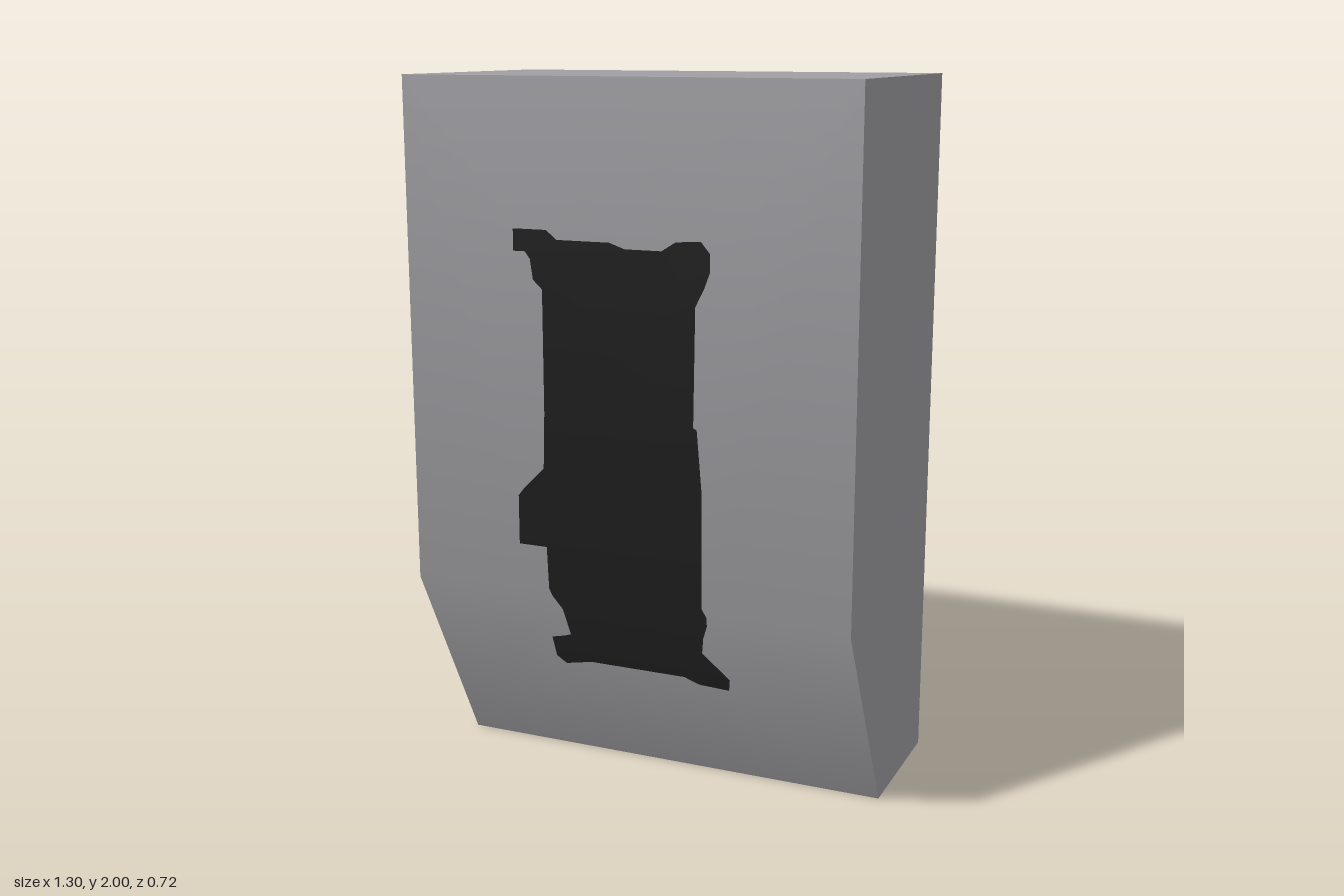
import * as THREE from 'three';

const W = 0.65, H = 2, Z = 0.36, BEND = 0.58, FOOT = 0.06;

// Front sheet: vertical above the bend, sloping back below it
const frontZ = y => (y >= BEND ? Z : FOOT + (Z - FOOT) * y / BEND);

// Marking outline above the bend, from left foot over the top to right foot
const markUpper = [
  [-0.22, BEND], [-0.23, 0.6], [-0.235, 0.72], [-0.32, 0.72], [-0.32, 0.86], [-0.3, 0.885],
  [-0.24, 0.945], [-0.235, 1.1], [-0.235, 1.44], [-0.262, 1.465], [-0.27, 1.52], [-0.285, 1.54],
  [-0.32, 1.54], [-0.32, 1.6], [-0.22, 1.6], [-0.19, 1.575], [-0.035, 1.575], [0.01, 1.56],
  [0.115, 1.56], [0.155, 1.585], [0.225, 1.59], [0.25, 1.56], [0.25, 1.51], [0.235, 1.47],
  [0.21, 1.42], [0.205, 1.1], [0.215, 1.095], [0.23, 0.92], [0.23, 0.605], [0.245, BEND],
];

// Marking outline below the bend, from left to right along the bottom
const markLower = [
  [-0.22, BEND], [-0.2, 0.535], [-0.2, 0.445], [-0.22, 0.437], [-0.265, 0.425], [-0.27, 0.355],
  [-0.245, 0.33], [-0.16, 0.35], [0.13, 0.35], [0.17, 0.33], [0.26, 0.325], [0.27, 0.365],
  [0.205, 0.45], [0.22, 0.505], [0.24, 0.55], [0.245, BEND],
];

// Flat outline laid onto the bent sheet, with normals blended over the bend
function sheet(points) {
  const geo = new THREE.ShapeGeometry(new THREE.Shape(points.map(p => new THREE.Vector2(...p))));
  const pos = geo.attributes.position, nor = geo.attributes.normal;
  const flat = new THREE.Vector3(0, 0, 1);
  const slope = new THREE.Vector3(0, FOOT - Z, BEND).normalize();
  const bend = flat.clone().add(slope).normalize();
  const n = new THREE.Vector3();
  for (let i = 0; i < pos.count; i++) {
    const y = pos.getY(i);
    pos.setZ(i, frontZ(y));
    if (y >= BEND) n.lerpVectors(bend, flat, (y - BEND) / (H - BEND));
    else n.lerpVectors(slope, bend, y / BEND);
    n.normalize();
    nor.setXYZ(i, n.x, n.y, n.z);
  }
  return geo;
}

export function createModel() {
  const grey = new THREE.MeshStandardMaterial({ color: 0xa0a0a4, side: THREE.DoubleSide });
  grey.name = 'grey shell';
  const black = new THREE.MeshStandardMaterial({ color: 0x202020, side: THREE.DoubleSide });
  black.name = 'black marking';

  const model = new THREE.Group();
  model.name = 'openBackedCasing';
  const add = (name, geo, mat) => {
    const mesh = new THREE.Mesh(geo, mat);
    mesh.name = name;
    model.add(mesh);
    return mesh;
  };

  // Front panel, cut out around the marking
  add('frontPanelUpper', sheet([[-W, H], [-W, BEND], ...markUpper, [W, BEND], [W, H]]), grey);
  add('frontPanelLower', sheet([[-W, 0], [-W, BEND], ...markLower, [W, BEND], [W, 0]]), grey);

  // Marking set flush into the panel
  add('markingUpper', sheet(markUpper), black);
  add('markingLower', sheet(markLower), black);

  // Side walls: profile drawn in z and y
  const profile = new THREE.Shape(
    [[-Z, 0], [FOOT, 0], [Z, BEND], [Z, H], [-Z, H]].map(p => new THREE.Vector2(...p)));
  for (const [name, s] of [['leftWall', 1], ['rightWall', -1]]) {
    const geo = new THREE.ShapeGeometry(profile);
    if (s > 0) geo.scale(-1, 1, 1).index.array.reverse(); // mirrored outline keeps its winding
    geo.rotateY(s * Math.PI / 2).translate(s * W, 0, 0);
    add(name, geo, grey);
  }

  // Top and floor; the back stays open
  add('top', new THREE.PlaneGeometry(2 * W, 2 * Z).rotateX(-Math.PI / 2).translate(0, H, 0), grey);
  add('floor', new THREE.PlaneGeometry(2 * W, FOOT + Z).rotateX(Math.PI / 2)
    .translate(0, 0, (FOOT - Z) / 2), grey);

  return model;
}
